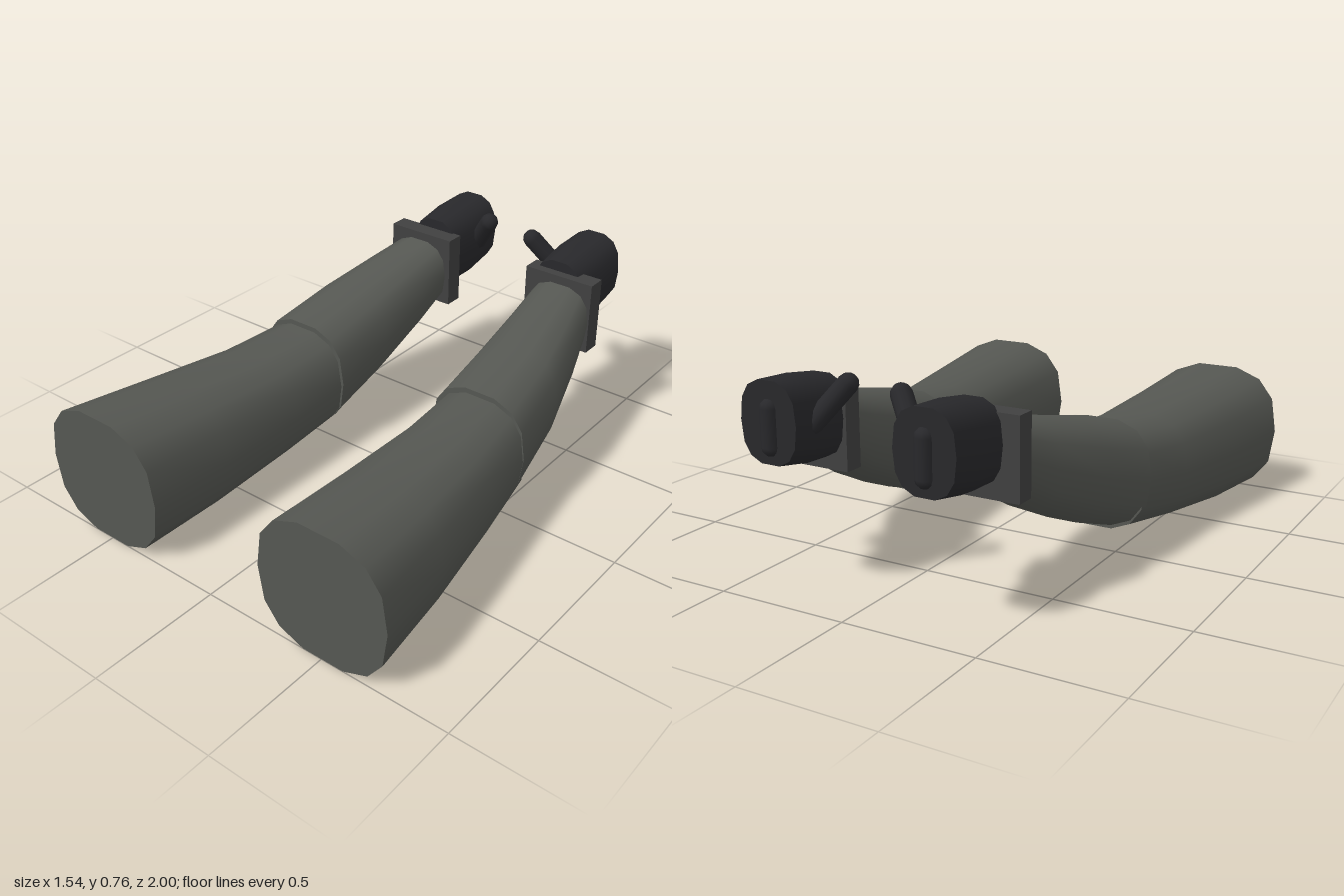
import * as THREE from 'three';
import { toCreasedNormals } from 'three/addons/utils/BufferGeometryUtils.js';

const sleeveMat = new THREE.MeshStandardMaterial({ color: 0x555752 });
const cuffMat = new THREE.MeshStandardMaterial({ color: 0x404040 });
const gloveMat = new THREE.MeshStandardMaterial({ color: 0x28282b });

// Capped tube through rounded-square rings: [z, inner x, outer x, bottom y, top y]
function loft(rings, side, sides = 14, power = 0.77) {
  const pos = [], index = [];
  const bend = (v) => Math.sign(v) * Math.abs(v) ** power;
  for (const [z, x0, x1, y0, y1] of rings) {
    for (let j = 0; j < sides; j++) {
      const a = Math.PI / 2 + ((j + 0.5) / sides) * Math.PI * 2;
      pos.push(
        side * (x0 + x1) / 2 + bend(Math.cos(a)) * (x1 - x0) / 2,
        (y0 + y1) / 2 + bend(Math.sin(a)) * (y1 - y0) / 2,
        z
      );
    }
  }
  const last = (rings.length - 1) * sides;
  for (let j = 0; j < sides; j++) {
    const k = (j + 1) % sides;
    for (let o = 0; o < last; o += sides) {
      const a = o + j, b = o + k, c = a + sides, d = b + sides;
      index.push(a, c, b, b, c, d);
    }
    if (j > 0 && j < sides - 1) index.push(0, j, k, last, last + k, last + j);
  }
  const g = new THREE.BufferGeometry();
  g.setAttribute('position', new THREE.Float32BufferAttribute(pos, 3));
  g.setIndex(index);
  return toCreasedNormals(g, 0.85);
}

function capsule(from, to, radius) {
  const a = new THREE.Vector3(...from), b = new THREE.Vector3(...to);
  const dir = b.clone().sub(a);
  const g = new THREE.CapsuleGeometry(radius, dir.length(), 3, 10);
  g.applyQuaternion(new THREE.Quaternion().setFromUnitVectors(new THREE.Vector3(0, 1, 0), dir.normalize()));
  const mid = a.add(b).multiplyScalar(0.5);
  return g.translate(mid.x, mid.y, mid.z);
}

function makeArm(side, handShift) {
  const arm = new THREE.Group();
  arm.name = side > 0 ? 'leftArm' : 'rightArm';
  const add = (name, geometry, material, parent = arm) => {
    const mesh = new THREE.Mesh(geometry, material);
    mesh.name = name;
    parent.add(mesh);
    return mesh;
  };

  // Sleeve in two overlapping lengths
  add('upperSleeve', loft([
    [1, 0.24, 0.77, -0.005, 0.515],
    [0.65, 0.236, 0.722, 0.007, 0.488],
    [0.28, 0.232, 0.66, 0.045, 0.465],
    [0.0, 0.228, 0.612, 0.083, 0.482],
  ], side), sleeveMat);
  add('lowerSleeve', loft([
    [0.03, 0.218, 0.62, 0.086, 0.5],
    [-0.24, 0.213, 0.583, 0.178, 0.56],
    [-0.48, 0.21, 0.52, 0.292, 0.615],
    [-0.65, 0.207, 0.468, 0.392, 0.655],
  ], side), sleeveMat);

  // Square wrist cuff
  const cuff = add('cuff', new THREE.BoxGeometry(0.295, 0.29, 0.075), cuffMat);
  cuff.position.set(side * 0.334, 0.535, -0.66);

  // Closed fist with a thumb and a ridge across the end
  const hand = new THREE.Group();
  hand.name = 'hand';
  hand.position.z = handShift;
  arm.add(hand);
  add('fist', loft([
    [-0.66, 0.2, 0.42, 0.428, 0.722],
    [-0.8, 0.188, 0.432, 0.436, 0.742],
    [-0.945, 0.196, 0.424, 0.462, 0.75],
  ], side), gloveMat, hand);
  add('thumb', capsule([side * 0.215, 0.59, -0.84], [side * 0.115, 0.725, -0.772], 0.037), gloveMat, hand);
  add('endRidge', capsule([side * 0.308, 0.525, -0.938], [side * 0.308, 0.655, -0.938], 0.033), gloveMat, hand);
  return arm;
}

export function createModel() {
  const model = new THREE.Group();
  model.name = 'armPair';
  model.add(makeArm(1, 0), makeArm(-1, -0.03));
  return model;
}
